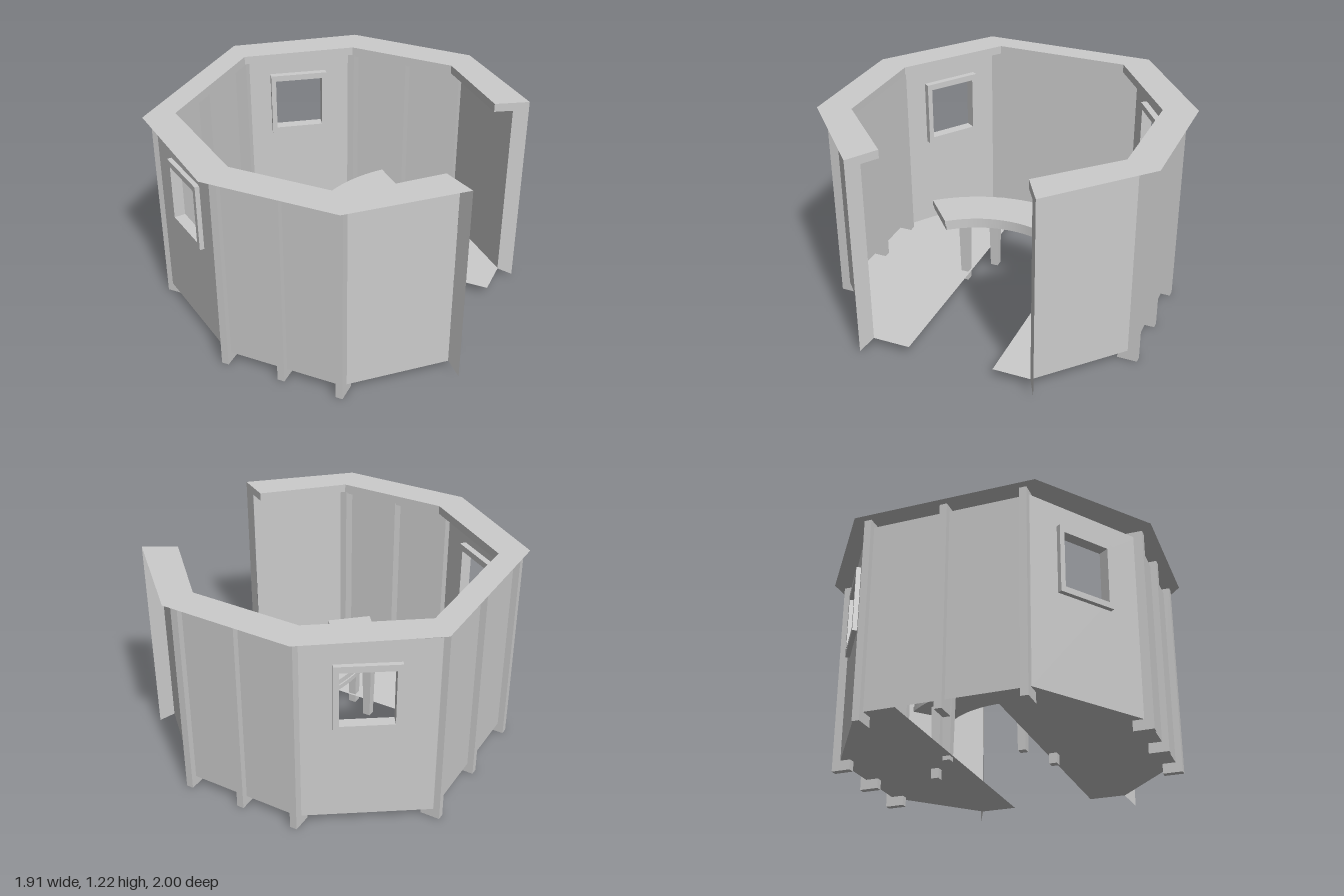
import * as THREE from 'three';

const FLOOR_Y = 0.06, WALL_TOP = 1.17, ROOF_Y = 1.22;

export function createModel() {
  const model = new THREE.Group();
  model.name = 'roundHut';
  const solid = new THREE.MeshStandardMaterial({ color: 0xcccccc, flatShading: true });
  const sheet = new THREE.MeshStandardMaterial({ color: 0xcccccc, flatShading: true, side: THREE.DoubleSide });

  const add = (parent, name, geometry, material, x = 0, y = 0, z = 0) => {
    const mesh = new THREE.Mesh(geometry, material);
    mesh.name = name;
    mesh.position.set(x, y, z);
    parent.add(mesh);
    return mesh;
  };
  const box = (parent, name, w, h, d, x, y, z) =>
    add(parent, name, new THREE.BoxGeometry(w, h, d), solid, x, y, z);
  const shapeOf = (points) => new THREE.Shape(points.map(([x, y]) => new THREE.Vector2(x, y)));
  // Horizontal sheet from an outline of [x, z] corners
  const flat = (name, points, y) =>
    add(model, name, new THREE.ShapeGeometry(shapeOf(points)).rotateX(Math.PI / 2), sheet, 0, y, 0);
  const rect = (x0, y0, x1, y1) => [[x0, y0], [x1, y0], [x1, y1], [x0, y1]];
  // Outline of one half, mirrored to the other half in z
  const ring = (half) => [...half.map(([x, z]) => [x, -z]), ...[...half].reverse()];

  const wallLine = ring([[0.88, 0.48], [0.42, 0.905], [-0.28, 0.905], [-0.9, 0.48]]);
  const eaveLine = ring([[0.96, 0.525], [0.45, 0.995], [-0.325, 1], [-0.955, 0.53]]);
  const innerLine = ring([[0.785, 0.42], [0.395, 0.805], [-0.26, 0.81], [-0.815, 0.408]]);

  // Walls, each in its own frame: x along the wall, z outward
  const wallH = WALL_TOP - FLOOR_Y;
  for (let i = 0; i < 7; i++) {
    const [x0, z0] = wallLine[i], [x1, z1] = wallLine[i + 1];
    const length = Math.hypot(x1 - x0, z1 - z0);
    const wall = new THREE.Group();
    wall.name = 'wall';
    wall.position.set((x0 + x1) / 2, FLOOR_Y, (z0 + z1) / 2);
    wall.rotation.y = Math.atan2(z0 - z1, x1 - x0);
    model.add(wall);

    const panel = shapeOf(rect(-length / 2, 0, length / 2, wallH));
    if (i === 2 || i === 4) {
      // Window frame around an opening in the diagonal wall
      const c = i === 4 ? -0.02 : 0, y0 = 0.61, y1 = 0.94, r = 0.148;
      panel.holes.push(new THREE.Path(rect(c - r, y0, c + r, y1).map((p) => new THREE.Vector2(...p))));
      const frame = shapeOf(rect(c - 0.178, y0 - 0.035, c + 0.178, y1 + 0.038));
      frame.holes.push(panel.holes[0]);
      const geometry = new THREE.ExtrudeGeometry(frame, { depth: 0.065, bevelEnabled: false });
      add(wall, 'windowFrame', geometry, solid, 0, 0, -0.038);
    }
    add(wall, 'wallPanel', new THREE.ShapeGeometry(panel), sheet);

    // Posts and inner top rail on the straight walls
    if (i % 2 === 1) {
      for (const u of [-0.5, 0, 0.5]) {
        const x = u * (length - (i === 3 ? 0.05 : 0));
        box(wall, 'post', 0.042, 1.2, 0.115, x, 0.6 - FLOOR_Y, -0.02);
      }
      box(wall, 'topRail', length, 0.025, 0.06, 0, wallH - 0.0125, -0.035);
    }
  }

  // Two floor halves with an open passage between them
  for (const s of [1, -1]) {
    flat('floor', [[0.88, 0.255], [0.88, 0.48], [0.42, 0.905], [-0.28, 0.905], [-0.9, 0.48], [-0.9, 0.255]]
      .map(([x, z]) => [x, s * z]), FLOOR_Y);
  }

  // Roof ring and the band hanging from its inner edge
  flat('roofRing', [...eaveLine, ...[...innerLine].reverse()], ROOF_Y);
  for (let i = 0; i < 7; i++) {
    const [x0, z0] = innerLine[i], [x1, z1] = innerLine[i + 1];
    const band = add(model, 'roofBand',
      new THREE.PlaneGeometry(Math.hypot(x1 - x0, z1 - z0), ROOF_Y - WALL_TOP), sheet,
      (x0 + x1) / 2, (ROOF_Y + WALL_TOP) / 2, (z0 + z1) / 2);
    band.rotation.y = Math.atan2(z0 - z1, x1 - x0);
  }

  // Upright end plates beside the entrance
  for (const s of [1, -1]) {
    const plate = shapeOf([[0, WALL_TOP], [0.11, WALL_TOP], [0.11, FLOOR_Y], [0.204, 0.01], [0.204, ROOF_Y], [0, ROOF_Y]]);
    const mesh = add(model, 'endPlate', new THREE.ShapeGeometry(plate), sheet, 0.785, 0, s * 0.42);
    mesh.rotation.y = -s * Math.atan2(0.105, 0.175);
  }

  // Curved bench: seat slab over a slightly larger apron
  const arc = (name, outer, inner, angle, y, h) => {
    const shape = new THREE.Shape();
    shape.absarc(0, 0, outer, Math.PI - angle, Math.PI + angle, false);
    shape.absarc(0, 0, inner, Math.PI + angle, Math.PI - angle, true);
    const geometry = new THREE.ExtrudeGeometry(shape, { depth: h, bevelEnabled: false, curveSegments: 24 });
    add(model, name, geometry.rotateX(-Math.PI / 2), solid, 0.655, y, -0.05);
  };
  arc('benchSeat', 0.825, 0.558, 0.73, 0.48, 0.033);
  arc('benchApron', 0.833, 0.558, 0.72, 0.452, 0.028);

  // Tapered bench legs: x, z, foot height
  for (const [x, z, foot] of [[0.03, 0.29, 0], [-0.14, 0.165, 0.035], [-0.14, -0.29, 0.035], [0.03, -0.435, 0]]) {
    const h = 0.455 - foot;
    const leg = new THREE.CylinderGeometry(0.042, 0.032, h, 4).rotateY(Math.PI / 4);
    add(model, 'benchLeg', leg, solid, x, foot + h / 2, z);
  }
  return model;
}
